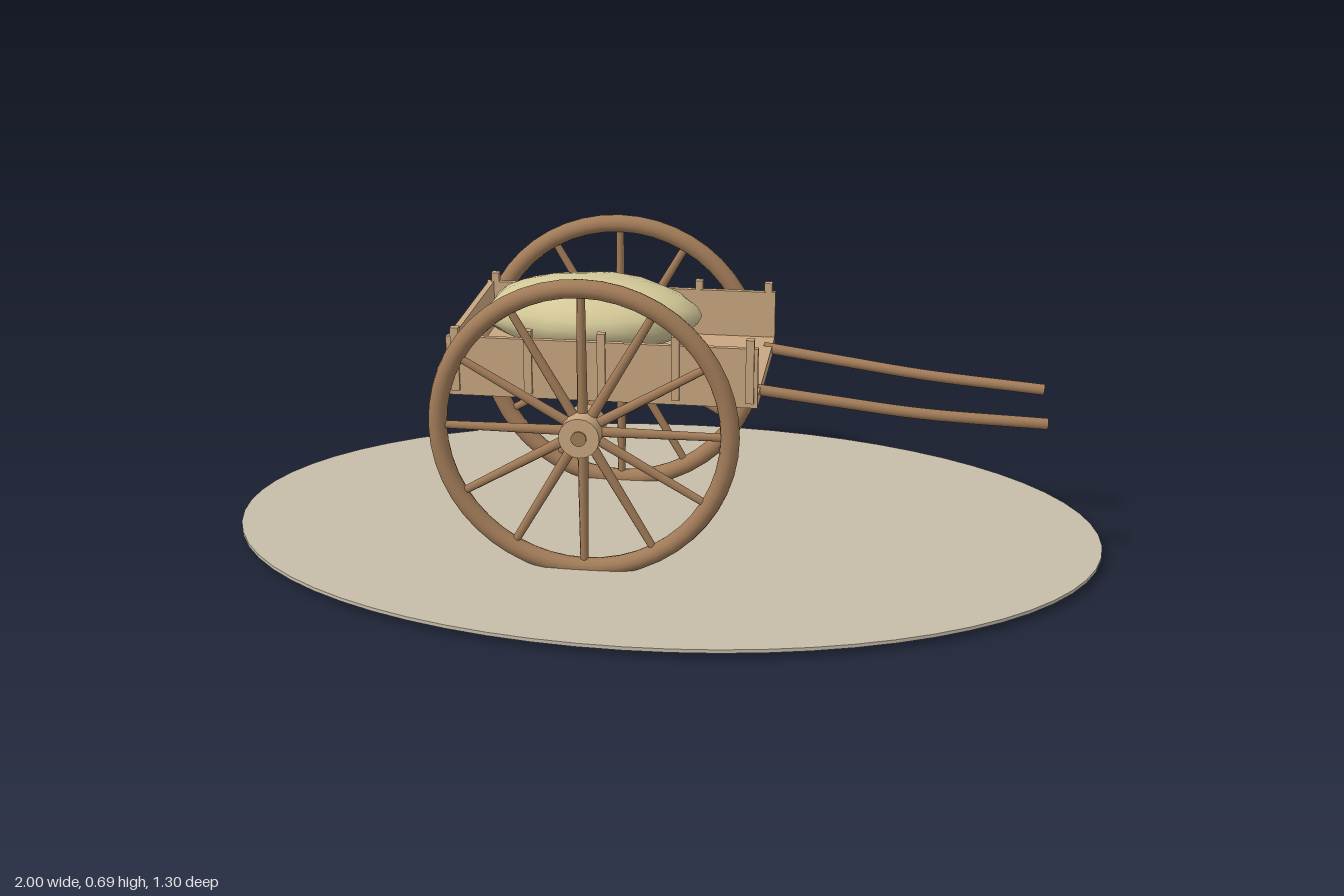
import * as THREE from 'three';
import { mergeVertices } from 'three/addons/utils/BufferGeometryUtils.js';

export function createModel() {
  const root = new THREE.Group();
  const mat = (name, color) => {
    const m = new THREE.MeshStandardMaterial({ color });
    m.name = name;
    return m;
  };
  const darkWood = mat('dark wood', 0xa17b58);
  const paleWood = mat('pale wood', 0xc9a680);
  const sackcloth = mat('sackcloth', 0xd3c898);
  const earth = mat('earth', 0xc5bca9);

  const add = (name, geo, material, x = 0, y = 0, z = 0, parent = root) => {
    const mesh = new THREE.Mesh(geo, material);
    mesh.name = name;
    mesh.position.set(x, y, z);
    parent.add(mesh);
    return mesh;
  };
  const box = (name, w, h, d, x, y, z) => add(name, new THREE.BoxGeometry(w, h, d), paleWood, x, y, z);

  // Oval ground plate
  add('groundPlate', new THREE.CylinderGeometry(1, 1, 0.008, 64).scale(1, 1, 0.65), earth, 0, 0.02, 0);

  // Axle and the two spoked wheels
  const wheelX = -0.145, wheelY = 0.345;
  add('axle', new THREE.CylinderGeometry(0.017, 0.017, 0.642, 14).rotateX(Math.PI / 2), darkWood, wheelX, wheelY, 0);
  for (const side of [1, -1]) {
    const wheel = new THREE.Group();
    wheel.name = side > 0 ? 'frontWheel' : 'backWheel';
    wheel.position.set(wheelX, wheelY, side * 0.268);
    root.add(wheel);
    add('rim', new THREE.TorusGeometry(0.322, 0.021, 12, 48), darkWood, 0, 0, 0, wheel);
    add('hub', new THREE.CylinderGeometry(0.045, 0.045, 0.098, 18).rotateX(Math.PI / 2), paleWood, 0, 0, 0, wheel);
    for (let i = 0; i < 12; i++) {
      const spoke = new THREE.CylinderGeometry(0.009, 0.012, 0.28, 8);
      spoke.translate(0, 0.175, 0).rotateZ((i * Math.PI) / 6);
      add('spoke', spoke, darkWood, 0, 0, 0, wheel);
    }
  }

  // Cart bed, open at the shaft end
  box('floor', 0.685, 0.026, 0.43, -0.1125, 0.409, 0);
  box('tailBoard', 0.014, 0.11, 0.41, -0.445, 0.476, 0);
  for (const side of [1, -1]) {
    box('sideBoard', 0.685, 0.11, 0.013, -0.1125, 0.476, side * 0.21);
    for (let i = 0; i < 5; i++) {
      box('post', 0.018, 0.144, 0.018, -0.435 + i * 0.162, 0.48, side * 0.2135);
    }
  }

  // Pulling shafts, dipping and drawing together toward the ends
  for (const side of [1, -1]) {
    const path = new THREE.CatmullRomCurve3([
      [0.21, 0.416, 0.145], [0.4, 0.392, 0.138], [0.58, 0.371, 0.13], [0.855, 0.354, 0.112],
    ].map(([x, y, z]) => new THREE.Vector3(x, y, z * side)));
    add('shaft', new THREE.TubeGeometry(path, 16, 0.0125, 10), darkWood);
    for (const t of [0, 1]) {
      const p = path.getPoint(t);
      const cap = add('shaftEnd', new THREE.CircleGeometry(0.0125, 10), darkWood, p.x, p.y, p.z);
      cap.lookAt(p.clone().addScaledVector(path.getTangent(t), t ? 1 : -1));
    }
  }

  // Lumpy sack, rippled around its upright axis
  let sack = new THREE.SphereGeometry(1, 20, 12);
  sack.deleteAttribute('uv');
  sack.deleteAttribute('normal');
  sack = mergeVertices(sack, 1e-4);
  const pos = sack.attributes.position;
  for (let i = 0; i < pos.count; i++) {
    const x = pos.getX(i), y = pos.getY(i), z = pos.getZ(i);
    const a = Math.atan2(z, x), ring = Math.hypot(x, z);
    const k = 1 + ring * (0.035 * Math.sin(5 * a + 1) + 0.025 * Math.cos(7 * a + 3 * y));
    pos.setXYZ(i, x * k * 0.24, y * (1 + 0.04 * ring * Math.sin(4 * a)) * 0.081, z * k * 0.156);
  }
  sack.computeVertexNormals();
  add('sack', sack, sackcloth, -0.17, 0.533, 0);

  return root;
}
